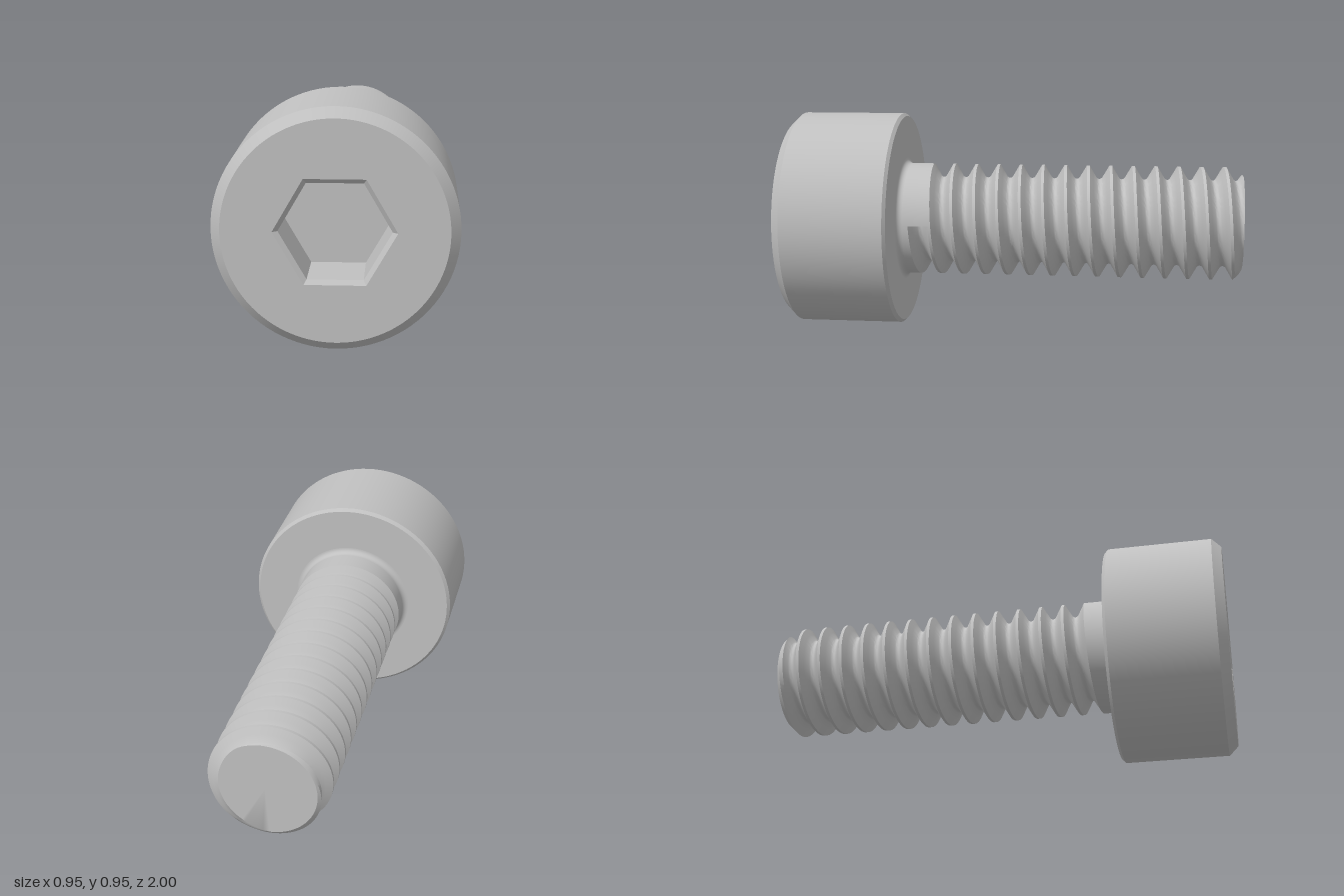
import * as THREE from 'three';
import { toCreasedNormals } from 'three/addons/utils/BufferGeometryUtils.js';

const SEG = 96;
const HEAD_R = 0.473, SHANK_R = 0.248, ROOT_R = 0.188;
const PITCH = 0.1, HALF_GROOVE = 0.0437, GROOVE_Z = 0.305;
const NECK_Z = 0.475, TIP_Z = -1, TIP_R = 0.21;

// Lathe around the z axis from [radius, z] points
function latheZ(points, segments = SEG, start = 0) {
  const geo = new THREE.LatheGeometry(points.map(p => new THREE.Vector2(...p)), segments, start);
  return geo.rotateX(Math.PI / 2);
}

// Depth profile of the rounded V groove: [distance from groove centre, radius]
const PROFILE = [[0, ROOT_R], [0.007, ROOT_R + 0.002], [0.0125, 0.1945], [0.028, 0.221], [HALF_GROOVE, SHANK_R]];

// Shank radius at any height and angle: helical groove plus tip chamfer
function shankRadius(z, angle) {
  const t = (z - GROOVE_Z) / PITCH - angle / (2 * Math.PI);
  let r = SHANK_R;
  if (t < 0.5) {
    const d = Math.abs(t - Math.round(t)) * PITCH;
    for (let i = 1; i < PROFILE.length; i++) {
      const [d0, r0] = PROFILE[i - 1], [d1, r1] = PROFILE[i];
      if (d >= d0 && d <= d1) r = r0 + (r1 - r0) * (d - d0) / (d1 - d0);
    }
  }
  return Math.min(r, TIP_R + (z - TIP_Z));
}

// Rows follow the helix, so the crests and roots stay sharp
function threadGeometry() {
  const offsets = [];
  for (const [d] of PROFILE) offsets.push(...(d ? [d, -d] : [0]));
  offsets.sort((a, b) => b - a);
  const bases = [];
  for (let k = 0; k < 15; k++) for (const o of offsets) bases.push(GROOVE_Z - k * PITCH + o);

  const rowCount = bases.length + 2;
  const point = (i, j) => {
    const angle = i / SEG * 2 * Math.PI;
    if (j === rowCount - 1) return [0, 0, TIP_Z];
    const z = j === 0 ? NECK_Z : Math.max(TIP_Z, bases[j - 1] + PITCH * i / SEG);
    const r = shankRadius(z, angle);
    return [r * Math.cos(angle), r * Math.sin(angle), z];
  };
  const positions = [];
  const triangle = (...corners) => {
    const [a, b, c] = corners.map(p => new THREE.Vector3(...p));
    if (b.clone().sub(a).cross(c.clone().sub(a)).length() > 1e-9) {
      for (const p of corners) positions.push(...p);
    }
  };
  for (let j = 0; j < rowCount - 1; j++) {
    for (let i = 0; i < SEG; i++) {
      const a = point(i, j), b = point(i + 1, j), c = point(i + 1, j + 1), d = point(i, j + 1);
      triangle(a, d, b);
      triangle(b, d, c);
    }
  }
  const geo = new THREE.BufferGeometry();
  geo.setAttribute('position', new THREE.Float32BufferAttribute(positions, 3));
  return toCreasedNormals(geo, 0.6);
}

export function createModel() {
  const model = new THREE.Group();
  model.name = 'socketScrew';
  const steel = new THREE.MeshStandardMaterial({ color: 0xc0c0c0 });
  steel.name = 'steel grey';
  const add = (name, geo) => {
    const mesh = new THREE.Mesh(geo, steel);
    mesh.name = name;
    mesh.position.y = HEAD_R;
    model.add(mesh);
  };

  // Head: separate bands keep the chamfer edges crisp
  add('headUnderside', latheZ([[0.24, 0.5], [0.46, 0.5]]));
  add('headBackChamfer', latheZ([[0.46, 0.5], [HEAD_R, 0.513]]));
  add('headSide', latheZ([[HEAD_R, 0.513], [HEAD_R, 0.96]]));
  add('headFrontChamfer', latheZ([[HEAD_R, 0.96], [0.434, 1]]));

  // Front face with the hexagonal opening
  const OPEN_R = 0.237, HEX_R = 0.2165;
  const face = new THREE.Shape().absarc(0, 0, 0.434, 0, Math.PI * 2);
  const hex = [];
  for (let i = 0; i < 6; i++) {
    hex.push(new THREE.Vector2(Math.cos(i * Math.PI / 3), Math.sin(i * Math.PI / 3)).multiplyScalar(OPEN_R));
  }
  face.holes.push(new THREE.Path(hex));
  add('headFace', new THREE.ShapeGeometry(face, SEG).translate(0, 0, 1));

  // Hexagonal socket: bevel, walls and floor
  const socket = latheZ([[OPEN_R, 1], [HEX_R, 0.985], [HEX_R, 0.76], [0, 0.76]], 6, Math.PI / 6).toNonIndexed();
  socket.computeVertexNormals();
  add('hexSocket', socket);

  // Fillet under the head
  const fillet = [];
  for (let i = 0; i <= 8; i++) {
    const a = i / 8 * Math.PI / 2;
    fillet.push([SHANK_R + 0.025 * (1 - Math.cos(a)), NECK_Z + 0.025 * Math.sin(a)]);
  }
  // the curve faces outward and down towards the tip
  add('neckFillet', latheZ(fillet));

  add('threadedShank', threadGeometry());

  // Flat wall where the groove starts
  const wall = [];
  for (const [d, r] of PROFILE) wall.push(new THREE.Vector2(r, GROOVE_Z + PITCH + d));
  for (const [d, r] of PROFILE.slice(1).reverse()) wall.push(new THREE.Vector2(r, GROOVE_Z + PITCH - d));
  add('grooveEndWall', new THREE.ShapeGeometry(new THREE.Shape(wall)).rotateX(Math.PI / 2));

  return model;
}
